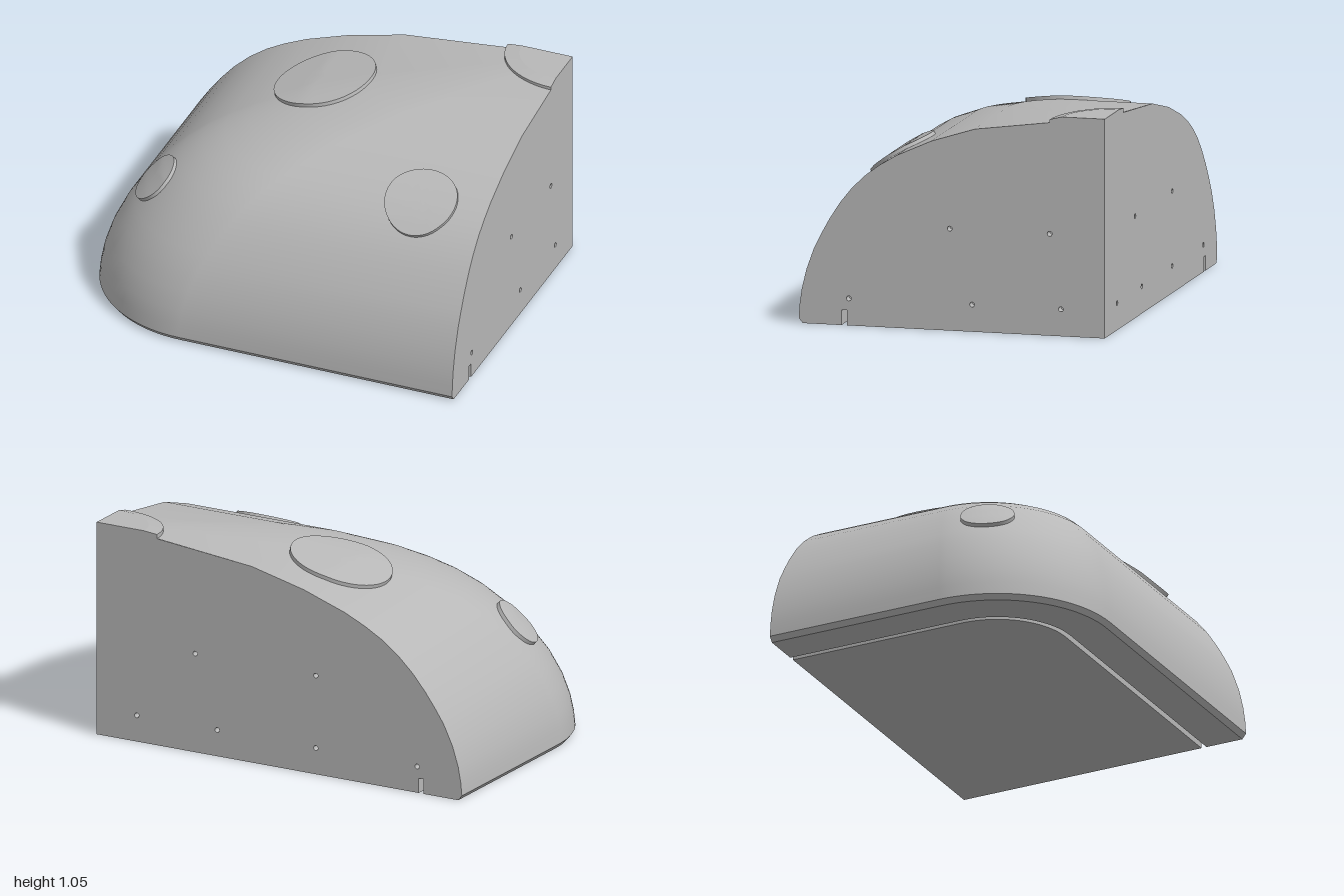
import * as THREE from 'three';

const grey = new THREE.MeshStandardMaterial({ color: 0xb8b8b8, side: THREE.DoubleSide });
grey.name = 'grey';

// The solid is a quarter of a dome. a runs from the inner corner towards -x, b towards +z.
const LA = 2, LB = 1.5, R = 0.6;
const at = (a, y, b) => new THREE.Vector3(1 - a, y, b - 0.75);

// dome profile: [footprint scale, height]
const PROFILE = [
  [1, 0.025], [0.997, 0.09], [0.99, 0.165], [0.975, 0.26], [0.95, 0.365], [0.925, 0.44],
  [0.9, 0.508], [0.865, 0.59], [0.825, 0.665], [0.78, 0.73], [0.735, 0.78], [0.68, 0.83],
  [0.633, 0.862], [0.567, 0.907], [0.425, 0.975], [0.17, 1.027], [0, 1.04],
];

function heightAtScale(s) {
  for (let i = 1; i < PROFILE.length; i++) {
    const [s0, y0] = PROFILE[i - 1], [s1, y1] = PROFILE[i];
    if (s >= s1) return y0 + ((y1 - y0) * (s - s0)) / (s1 - s0);
  }
  return 1.04;
}

// dome height above any point of the ground plan
function domeHeight(x, z) {
  const a = 1 - x, b = z + 0.75, ca = LA - R, cb = LB - R;
  let s = Math.max(a / LA, b / LB);
  if (b / a > cb / LA && b / a < LB / ca) {
    const A = ca * ca + cb * cb - R * R, B = ca * a + cb * b;
    s = (B - Math.sqrt(B * B - A * (a * a + b * b))) / A;
  }
  return heightAtScale(Math.min(s, 1));
}

// footprint line with one rounded corner, inset by o, scaled by s
function footprint(o, y, s = 1) {
  const pts = [at(0, y, (LB - o) * s)];
  for (let i = 0; i <= 24; i++) {
    const t = (i / 24) * Math.PI / 2;
    pts.push(at((LA - R + (R - o) * Math.sin(t)) * s, y, (LB - R + (R - o) * Math.cos(t)) * s));
  }
  pts.push(at((LA - o) * s, y, 0));
  return pts;
}

// skin through equally long rows of points
function loft(name, rows) {
  const n = rows[0].length, index = [];
  for (let j = 0; j < rows.length - 1; j++) {
    for (let i = 0; i < n - 1; i++) {
      const p = j * n + i, q = p + n;
      index.push(p, q, p + 1, p + 1, q, q + 1);
    }
  }
  const g = new THREE.BufferGeometry().setFromPoints(rows.flat());
  g.setIndex(index);
  g.computeVertexNormals();
  const m = new THREE.Mesh(g, grey);
  m.name = name;
  return m;
}

// round pad that follows the dome
function pad(name, x, z, r, normal) {
  const n = new THREE.Vector3(...normal).normalize();
  const u = new THREE.Vector3(0, 0, 1).cross(n).normalize();
  const v = n.clone().cross(u);
  const t = 0.018;
  const ring = (rr, lift) => Array.from({ length: 49 }, (_, i) => {
    const k = (-i / 48) * Math.PI * 2;
    const p = new THREE.Vector3(x, 0, z).addScaledVector(n, -t)
      .addScaledVector(u, rr * Math.cos(k)).addScaledVector(v, rr * Math.sin(k));
    p.y = domeHeight(p.x, p.z);
    return p.addScaledVector(n, lift);
  });
  const g = new THREE.Group();
  g.name = name;
  g.add(loft(name + 'Rim', [ring(r, -0.01), ring(r, t)]));
  g.add(loft(name + 'Top', [1, 0.8, 0.6, 0.4, 0.2, 0].map((k) => ring(r * k, t))));
  return g;
}

// upright cut face with groove notch and drilled holes
function cutFace(name, length, sign, hub, hubY, holes) {
  const g = new THREE.Group();
  g.name = name;
  const outline = [
    [0, 0], [length - 0.237, 0], [length - 0.237, 0.073], [length - 0.21, 0.073], [length - 0.21, 0],
    [length - 0.02, 0],
    ...PROFILE.filter(([s]) => s * length > hub + 0.02).map(([s, y]) => [s * length, y]),
    [hub, heightAtScale(hub / length)], [hub, hubY], [hub * 0.78, 1.055], [0, 1.055],
  ];
  const shape = new THREE.Shape(outline.map(([u, y]) => new THREE.Vector2(u * sign, y)));
  const r = 0.012, depth = 0.05;
  for (const [u, y] of holes) {
    const path = new THREE.Path();
    path.absarc(u * sign, y, r, 0, Math.PI * 2, true);
    shape.holes.push(path);
    const wall = new THREE.Mesh(new THREE.CylinderGeometry(r, r, depth, 20, 1, true), grey);
    wall.rotation.x = Math.PI / 2;
    wall.position.set(u * sign, y, -depth / 2);
    wall.name = 'holeWall';
    const end = new THREE.Mesh(new THREE.CircleGeometry(r, 20), grey);
    end.position.set(u * sign, y, -depth);
    end.name = 'holeEnd';
    g.add(wall, end);
  }
  const plate = new THREE.Mesh(new THREE.ShapeGeometry(shape, 10), grey);
  plate.name = name + 'Plate';
  g.add(plate);
  g.position.set(1, 0, -0.75);
  return g;
}

export function createModel() {
  const model = new THREE.Group();
  model.name = 'domeQuarter';

  // smooth dome skin
  model.add(loft('dome', PROFILE.map(([s, y]) => footprint(0, y, s))));

  // underside with its groove, and the chamfered bottom edge
  const edge = [[0.237, 0], [0.237, 0.073], [0.21, 0.073], [0.21, 0], [0.02, 0], [0, 0.025]];
  const names = ['grooveInnerWall', 'grooveCeiling', 'grooveOuterWall', 'undersideBorder', 'bottomChamfer'];
  names.forEach((name, i) => {
    model.add(loft(name, [footprint(...edge[i]), footprint(...edge[i + 1])]));
  });
  model.add(loft('underside', [footprint(0, 0, 0), footprint(0.237, 0)]));

  // two flat cut faces
  const back = cutFace('backFace', LA, 1, 0.33, 1.048, [
    [0.54, 0.49], [1.2, 0.49], [0.22, 0.13], [0.66, 0.13], [1.2, 0.13], [1.755, 0.13],
  ]);
  back.rotation.y = Math.PI;
  const side = cutFace('sideFace', LB, -1, 0.27, 1.04, [
    [0.76, 0.49], [0.27, 0.49], [1.255, 0.13], [0.65, 0.13], [0.215, 0.13],
  ]);
  side.rotation.y = Math.PI / 2;
  model.add(back, side);

  // quarter pad at the crown
  const crown = (k, yB, yA) => Array.from({ length: 25 }, (_, i) => {
    const t = (i / 24) * Math.PI / 2, w = Math.sin(t) ** 2;
    return at(0.33 * k * Math.sin(t), yB + (yA - yB) * w, 0.27 * k * Math.cos(t));
  });
  model.add(loft('crownPadRim', [crown(1, 1.005, 1.005), crown(1, 1.04, 1.048)]));
  model.add(loft('crownPadSlope', [crown(1, 1.04, 1.048), crown(0.78, 1.055, 1.055)]));
  model.add(loft('crownPadTop', [crown(0.78, 1.055, 1.055), crown(0, 1.055, 1.055)]));

  // round pads on the dome
  model.add(pad('largePad', -0.09, -0.32, 0.249, [-0.25, 0.968, 0.03]));
  model.add(pad('frontPad', 0.67, 0.335, 0.177, [0, 0.834, 0.55]));
  model.add(pad('cornerPad', -0.72, 0.262, 0.128, [-0.63, 0.71, 0.3]));
  return model;
}
